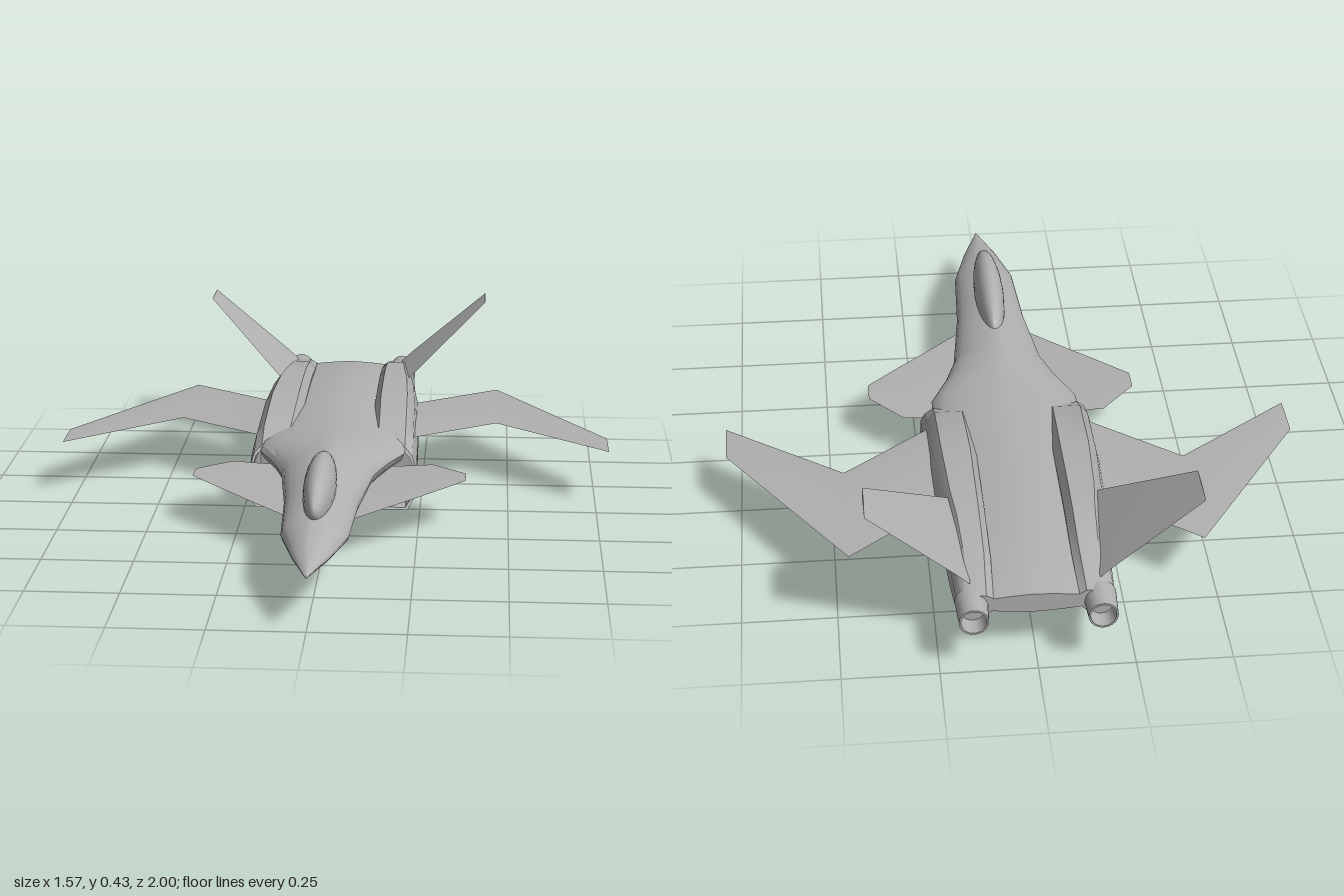
import * as THREE from 'three';
import { toCreasedNormals } from 'three/addons/utils/BufferGeometryUtils.js';

// Skin a closed solid over equal-length rings of [x, y, z], facing outwards.
function loft(rings, crease = 0.5) {
  const n = rings[0].length, pos = rings.flat(2), idx = [];
  for (let r = 0; r < rings.length - 1; r++) {
    for (let i = 0; i < n; i++) {
      const a = r * n + i, b = r * n + (i + 1) % n;
      idx.push(a, b, a + n, b, b + n, a + n);
    }
  }
  // end caps as fans around the ring centres
  [0, rings.length - 1].forEach((r, end) => {
    const c = pos.length / 3;
    for (let k = 0; k < 3; k++) pos.push(rings[r].reduce((s, p) => s + p[k], 0) / n);
    for (let i = 0; i < n; i++) {
      const a = r * n + i, b = r * n + (i + 1) % n;
      if (end) idx.push(a, b, c); else idx.push(b, a, c);
    }
  });
  // flip the winding if the enclosed volume is negative
  const v = i => new THREE.Vector3().fromArray(pos, i * 3);
  let vol = 0;
  for (let i = 0; i < idx.length; i += 3) vol += v(idx[i]).dot(v(idx[i + 1]).cross(v(idx[i + 2])));
  if (vol < 0) idx.reverse();
  const g = new THREE.BufferGeometry();
  g.setAttribute('position', new THREE.Float32BufferAttribute(pos, 3));
  g.setIndex(idx);
  return toCreasedNormals(g, crease);
}

// Thin aerofoil over stations [x, y, leadingZ, trailingZ, halfThickness].
function fin(side, stations, nx = 0, ny = 1) {
  return loft(stations.map(([x, y, le, te, t]) => {
    const m = le + (te - le) * 0.4;
    return [
      [side * x, y, le],
      [side * (x + nx * t), y + ny * t, m],
      [side * x, y, te],
      [side * (x - nx * t), y - ny * t, m],
    ];
  }), 0.3);
}

export function createModel() {
  const model = new THREE.Group();
  const grey = new THREE.MeshStandardMaterial({ color: 0xb0b0b0 });
  const add = (name, geo, x = 0, y = 0, z = 0) => {
    const m = new THREE.Mesh(geo, grey);
    m.name = name;
    m.position.set(x, y, z);
    model.add(m);
    return m;
  };

  // Fuselage: z, half width, chine height, top, bottom
  const body = [
    [1, 0.002, 0.145, 0.147, 0.143], [0.85, 0.05, 0.15, 0.18, 0.117],
    [0.7, 0.088, 0.153, 0.208, 0.099], [0.45, 0.1, 0.158, 0.228, 0.083],
    [0.2, 0.128, 0.164, 0.236, 0.078], [0.1, 0.16, 0.166, 0.232, 0.078],
    [0, 0.205, 0.168, 0.227, 0.08], [-0.3, 0.21, 0.17, 0.226, 0.088],
    [-0.6, 0.2, 0.17, 0.224, 0.1], [-0.8, 0.19, 0.17, 0.212, 0.115],
    [-0.94, 0.185, 0.165, 0.193, 0.138],
  ];
  add('fuselage', loft(body.map(([z, w, c, top, bot]) => {
    const ring = [];
    for (let i = 0; i < 24; i++) {
      const a = i / 24 * Math.PI * 2, co = Math.cos(a), s = Math.sin(a);
      const x = Math.sign(co) * w * Math.abs(co) ** 1.4;
      ring.push([x, c + (s > 0 ? top - c : c - bot) * Math.sign(s) * Math.abs(s) ** 1.1, z]);
    }
    return ring;
  }), 0.6));

  // Canopy bubble
  const canopy = new THREE.SphereGeometry(1, 24, 16);
  canopy.scale(0.043, 0.075, 0.23);
  add('canopy', canopy, 0, 0.22, 0.5);

  // Engine nacelle: z, inner x, outer x, bottom, top
  const nacelle = [
    [-0.03, 0.12, 0.238, 0.015, 0.175], [-0.12, 0.115, 0.238, 0.024, 0.212],
    [-0.35, 0.11, 0.234, 0.036, 0.246], [-0.55, 0.11, 0.225, 0.05, 0.249],
    [-0.65, 0.11, 0.215, 0.058, 0.246], [-0.8, 0.11, 0.207, 0.075, 0.227],
    [-0.94, 0.115, 0.2, 0.128, 0.196],
  ];
  const section = ([z, xi, xo, bot, top], side, slant = 0) => {
    const h = top - bot;
    return [
      [xi, bot + h * 0.25], [xi + 0.018, bot], [xo - 0.022, bot], [xo, bot + h * 0.22],
      [xo, bot + h * 0.6], [xo - 0.012, bot + h * 0.85], [xo - 0.034, top], [xi + 0.012, top],
      [xi - 0.006, top - h * 0.15],
    ].map(([x, y]) => [side * x, y, z + slant * (0.15 - y)]);
  };

  for (const side of [1, -1]) {
    const tag = side > 0 ? 'left' : 'right';

    // Nacelle with a raked lip and a recessed intake duct
    const rings = nacelle.map((s, i) => section(s, side, i ? 0 : 0.55));
    const lip = section([-0.03, 0.126, 0.232, 0.021, 0.168], side, 0.55);
    const duct = section([-0.2, 0.132, 0.222, 0.036, 0.165], side);
    add(tag + 'Nacelle', loft([duct, lip, ...rings], 0.45));

    // Cranked main wing
    add(tag + 'Wing', fin(side, [
      [0.15, 0.176, -0.09, -0.46, 0.014], [0.225, 0.174, -0.145, -0.52, 0.013],
      [0.465, 0.168, -0.33, -0.71, 0.008], [0.785, 0.16, -0.08, -0.215, 0.002],
    ]));

    // Foreplane
    add(tag + 'Foreplane', fin(side, [
      [0.08, 0.119, 0.46, -0.02, 0.005], [0.21, 0.126, 0.326, -0.02, 0.004],
      [0.285, 0.131, 0.25, -0.02, 0.003], [0.38, 0.137, 0.15, 0.08, 0.002],
    ]));

    // Outward canted tail fin
    add(tag + 'TailFin', fin(side, [
      [0.165, 0.208, -0.54, -0.905, 0.005], [0.2, 0.24, -0.57, -0.905, 0.005],
      [0.425, 0.43, -0.775, -0.905, 0.002],
    ], -0.65, 0.76));

    // Hollow exhaust nozzle
    const profile = [[0, 0.04], [0.031, 0.04], [0.033, 0.09], [0.038, 0.09], [0.043, 0], [0, 0]]
      .map(([r, h]) => new THREE.Vector2(r, h));
    const nozzle = new THREE.LatheGeometry(profile.reverse(), 20);
    nozzle.rotateX(-Math.PI / 2);
    add(tag + 'Nozzle', toCreasedNormals(nozzle, 0.5), side * 0.163, 0.16, -0.91);
  }

  // Gun pod: z, half width, bottom, top
  const pod = [[0.26, 0.028, 0.01, 0.05], [0.24, 0.034, 0.003, 0.057],
    [-0.48, 0.034, 0.005, 0.055], [-0.6, 0.015, 0.03, 0.053]];
  add('gunPod', loft(pod.map(([z, w, b, t]) => {
    const c = (t - b) * 0.28;
    return [[w, b + c], [w, t - c], [w * 0.6, t], [-w * 0.6, t],
      [-w, t - c], [-w, b + c], [-w * 0.6, b], [w * 0.6, b]].map(p => [...p, z]);
  })));

  // Twin barrel rails, clamps and hangers
  for (const y of [0.022, 0.038]) add('barrelRail', new THREE.BoxGeometry(0.022, 0.007, 0.25), 0, y, 0.345);
  for (const z of [0.45, 0.35]) add('barrelClamp', new THREE.BoxGeometry(0.03, 0.032, 0.012), 0, 0.03, z);
  add('frontHanger', new THREE.BoxGeometry(0.01, 0.06, 0.014), 0, 0.065, 0.35);
  for (const z of [0.155, -0.25]) add('podPylon', new THREE.BoxGeometry(0.022, 0.06, 0.09), 0, 0.075, z);

  return model;
}
